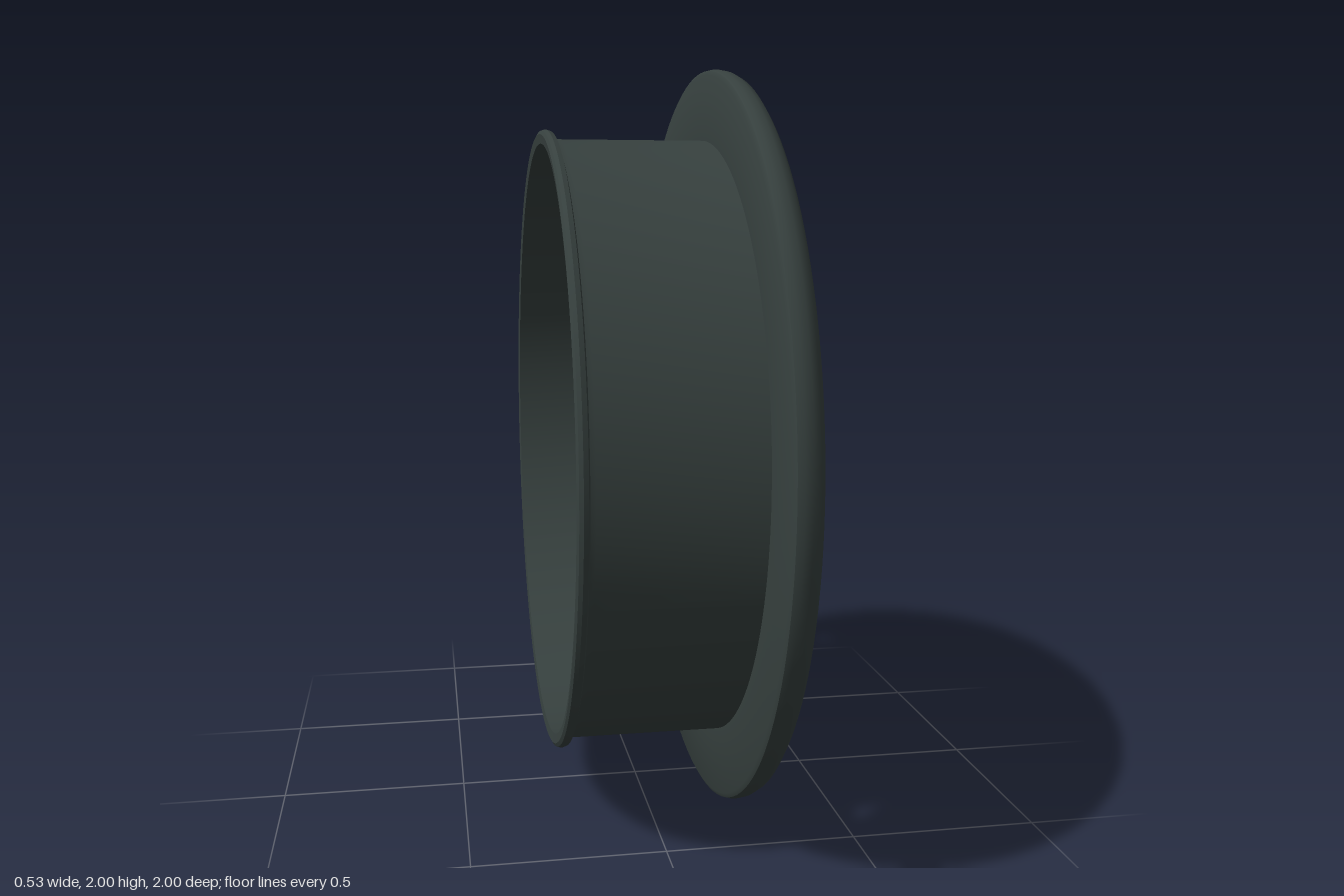
import * as THREE from 'three';
import { toCreasedNormals } from 'three/addons/utils/BufferGeometryUtils.js';

const darkMetal = new THREE.MeshStandardMaterial({ color: 0x37413f });
darkMetal.name = 'dark metal';
const greyMetal = new THREE.MeshStandardMaterial({ color: 0x7b7b7e });
greyMetal.name = 'grey metal';

function addMesh(parent, name, geometry, material) {
  const mesh = new THREE.Mesh(geometry, material);
  mesh.name = name;
  parent.add(mesh);
  return mesh;
}

// Turned part around the axle (local z); points are [radius, z]
function turned(points, segments = 96) {
  const g = new THREE.LatheGeometry(points.map(([r, z]) => new THREE.Vector2(r, z)), segments);
  g.rotateX(Math.PI / 2);
  return toCreasedNormals(g, 0.6);
}

// Bar along +y; section(t) returns a ring of [x, y, z] corners
function loft(section, steps) {
  const pos = [], idx = [];
  let n = 0;
  for (let i = 0; i <= steps; i++) {
    const ring = section(i / steps);
    n = ring.length;
    ring.forEach(p => pos.push(...p));
  }
  for (let i = 0; i < steps; i++) {
    for (let k = 0; k < n; k++) {
      const a = i * n + k, b = i * n + (k + 1) % n;
      idx.push(a, b, b + n, a, b + n, a + n);
    }
  }
  const top = steps * n;
  for (let k = 1; k < n - 1; k++) idx.push(0, k + 1, k, top, top + k, top + k + 1);
  const g = new THREE.BufferGeometry();
  g.setAttribute('position', new THREE.Float32BufferAttribute(pos, 3));
  g.setIndex(idx);
  return toCreasedNormals(g, 0.5);
}

// Chamfered bar section
const barRing = (cx, r, hw, zf, depth) => [
  [cx - hw * 0.8, r, zf], [cx + hw * 0.8, r, zf], [cx + hw, r, zf - 0.012],
  [cx + hw, r, zf - depth], [cx - hw, r, zf - depth], [cx - hw, r, zf - 0.012],
];

// Spoke rules: front height, sideways offset and half width by radius
const frontZ = r => 0.12 + 0.11 * Math.sin(Math.min(1, (r - 0.08) / 0.72) * Math.PI / 2);
const offset = r => 0.022 + (r - 0.1) * 0.166;
const halfWidth = r => 0.024 + 0.014 * Math.max(0, (r - 0.3) / 0.5);

function spoke(side) {
  return loft(t => {
    const r = 0.08 + 0.72 * t;
    return barRing(side * offset(r), r, halfWidth(r), frontZ(r), 0.085 - 0.03 * t);
  }, 14);
}

function spokeInlay(side) {
  return loft(t => {
    const r = 0.38 + 0.415 * t, z = frontZ(r) + 0.003;
    const hw = 0.007 + 0.024 * Math.min(1, t * 1.6);
    const cx = side * (offset(r) + (halfWidth(r) * 0.85 - hw) * 0.6);
    return [[cx - hw, r, z], [cx + hw, r, z], [cx + hw, r, z - 0.006], [cx - hw, r, z - 0.006]];
  }, 10);
}

function spokeRoot() {
  return loft(t => {
    const r = 0.06 + 0.24 * t;
    return barRing(0, r, 0.066 - 0.016 * Math.sin(t * Math.PI), frontZ(Math.max(r, 0.08)) - 0.006, 0.07);
  }, 8);
}

// Drilled disc
function discGeometry() {
  const outline = [];
  for (let i = 0; i < 96; i++) {
    const a = i / 96 * Math.PI * 2;
    outline.push(new THREE.Vector2(Math.cos(a) * 0.675, Math.sin(a) * 0.675));
  }
  const shape = new THREE.Shape(outline);
  for (const [radius, start] of [[0.603, 0], [0.513, 7.7], [0.42, 12]]) {
    for (let i = 0; i < 20; i++) {
      const a = (start + 18 * i) * Math.PI / 180;
      const hole = new THREE.Path();
      hole.absarc(Math.cos(a) * radius, Math.sin(a) * radius, 0.016, 0, Math.PI * 2, true);
      shape.holes.push(hole);
    }
  }
  const g = new THREE.ExtrudeGeometry(shape, { depth: 0.03, bevelEnabled: false, curveSegments: 7 });
  g.translate(0, 0, -0.075);
  return g;
}

export function createModel() {
  const model = new THREE.Group();
  model.name = 'wheel';
  const wheel = new THREE.Group();
  wheel.name = 'wheelAssembly';
  wheel.position.y = 1;
  wheel.rotation.y = Math.PI / 2;
  model.add(wheel);

  // Tyre and rim
  addMesh(wheel, 'tyre', turned([
    [0.81, 0.175], [0.985, 0.175], [0.996, 0.181], [1, 0.197], [0.997, 0.218], [0.987, 0.237],
    [0.968, 0.25], [0.94, 0.255], [0.905, 0.253], [0.875, 0.246], [0.855, 0.235], [0.81, 0.235], [0.81, 0.175],
  ], 128), darkMetal);
  addMesh(wheel, 'rimBarrel', turned([
    [0.803, -0.262], [0.828, -0.265], [0.837, -0.26], [0.84, -0.25], [0.836, -0.238], [0.818, -0.233],
    [0.815, -0.22], [0.815, 0.2], [0.85, 0.22], [0.85, 0.256], [0.843, 0.262], [0.832, 0.26], [0.822, 0.25],
    [0.805, 0.243], [0.792, 0.23], [0.785, 0.21], [0.787, 0.15], [0.795, 0.08], [0.8, -0.1], [0.803, -0.262],
  ], 128), darkMetal);
  addMesh(wheel, 'rimEdgeRing', turned([
    [0.838, 0.258], [0.848, 0.257], [0.848, 0.2635], [0.838, 0.2635], [0.838, 0.258],
  ], 128), greyMetal);

  // Brake disc with its carrier and bolts
  addMesh(wheel, 'brakeDisc', discGeometry(), greyMetal);
  addMesh(wheel, 'discCarrierAndHub', turned([
    [0, -0.135], [0.015, -0.132], [0.025, -0.105], [0.05, -0.092], [0.1, -0.105], [0.16, -0.115], [0.21, -0.112],
    [0.235, -0.1], [0.24, -0.082], [0.37, -0.082], [0.37, -0.038], [0.235, -0.038], [0.232, -0.02], [0.2, -0.01],
    [0.16, 0], [0.135, 0.04], [0.135, 0.115], [0.125, 0.125], [0, 0.125],
  ]), darkMetal);
  for (let i = 0; i < 10; i++) {
    const a = (7 + 36 * i) * Math.PI / 180;
    const bolt = addMesh(wheel, 'carrierBolt', new THREE.CylinderGeometry(0.009, 0.009, 0.056, 10), darkMetal);
    bolt.rotation.x = Math.PI / 2;
    bolt.position.set(Math.cos(a) * 0.31, Math.sin(a) * 0.31, -0.06);
  }

  // Five split spokes
  const rootGeo = spokeRoot();
  const arms = [-1, 1].map(s => [spoke(s), spokeInlay(s)]);
  for (let i = 0; i < 5; i++) {
    const pair = new THREE.Group();
    pair.name = 'spokePair';
    pair.rotation.z = (6 + 72 * i) * Math.PI / 180;
    wheel.add(pair);
    addMesh(pair, 'spokeRoot', rootGeo, darkMetal);
    for (const [bar, inlay] of arms) {
      addMesh(pair, 'spoke', bar, darkMetal);
      addMesh(pair, 'spokeInlay', inlay, greyMetal);
    }
  }

  // Centre cap and wheel nuts
  addMesh(wheel, 'centreCap', turned([
    [0.092, 0.11], [0.092, 0.152], [0.086, 0.158], [0.078, 0.158], [0.074, 0.15], [0.04, 0.154], [0, 0.156],
  ], 48), darkMetal);
  addMesh(wheel, 'capRing', turned([
    [0.078, 0.156], [0.087, 0.156], [0.087, 0.161], [0.078, 0.161], [0.078, 0.156],
  ], 48), greyMetal);
  for (let i = 0; i < 5; i++) {
    const a = (90 + 72 * i) * Math.PI / 180;
    const nut = addMesh(wheel, 'wheelNut', new THREE.CylinderGeometry(0.009, 0.009, 0.03, 6), greyMetal);
    nut.rotation.x = Math.PI / 2;
    nut.position.set(Math.cos(a) * 0.118, Math.sin(a) * 0.118, 0.122);
  }
  return model;
}
